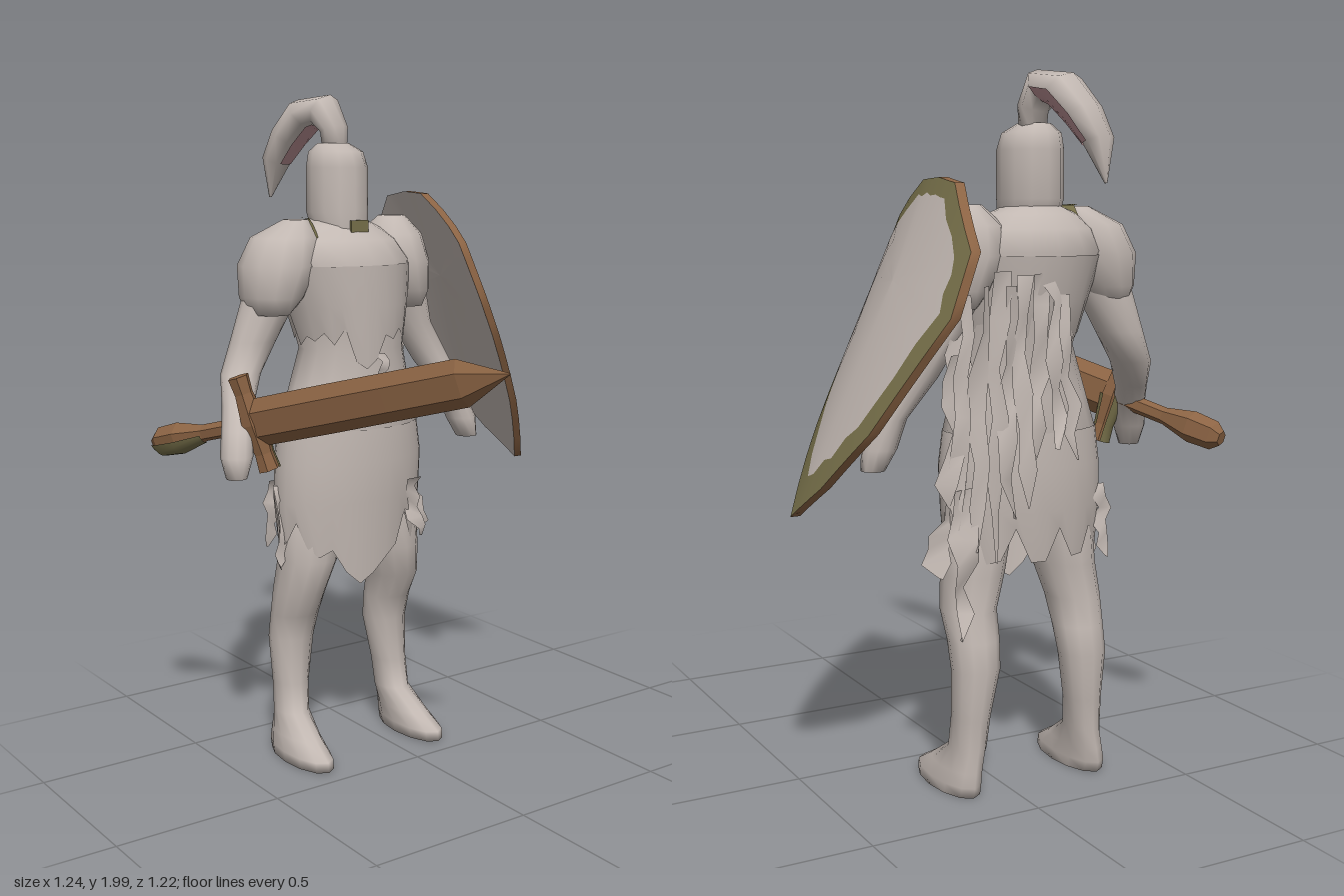
import * as THREE from 'three';

const V = (x, y, z) => new THREE.Vector3(x, y, z);
const mat = (name, color, side = THREE.FrontSide) => {
  const m = new THREE.MeshStandardMaterial({ color, side });
  m.name = name;
  return m;
};

export function createModel() {
  const model = new THREE.Group();
  model.name = 'knight';
  const steel = mat('steel grey', 0xc2b8b2, THREE.DoubleSide);
  const brown = mat('worn brown', 0x8c6444);
  const olive = mat('olive', 0x77704a);
  const pink = mat('faded pink', 0xbb9094, THREE.DoubleSide);
  let seed = 7;
  const rand = () => (seed = (seed * 16807) % 2147483647) / 2147483647;

  const add = (name, geo, material, parent = model) => {
    const mesh = new THREE.Mesh(geo, material);
    mesh.name = name;
    parent.add(mesh);
    return mesh;
  };

  // Joins rings of points that run counter-clockwise about the direction of travel
  function skin(rings, { caps = true, flat = false, open = false } = {}) {
    const n = rings[0].length, pts = rings.flat(), idx = [];
    for (let j = 0; j < rings.length - 1; j++) {
      for (let i = 0; i < (open ? n - 1 : n); i++) {
        const a = j * n + i, b = j * n + (i + 1) % n;
        idx.push(a, b, a + n, b, b + n, a + n);
      }
    }
    if (caps) {
      const last = (rings.length - 1) * n;
      for (let i = 1; i < n - 1; i++) {
        idx.push(0, i + 1, i, last, last + i, last + i + 1);
      }
    }
    let g = new THREE.BufferGeometry().setFromPoints(pts);
    g.setIndex(idx);
    if (flat) g = g.toNonIndexed();
    g.computeVertexNormals();
    return g;
  }

  // Level elliptical rings or arcs, bottom to top: [y, x, z, rx, rz]
  const ellipse = ([y, x, z, rx, rz], n, from = 0, span = Math.PI * 2) => Array.from({ length: n }, (_, i) => {
    const a = from + span * i / n;
    return V(x + rx * Math.cos(a), y, z - rz * Math.sin(a));
  });
  const loft = (sections, n = 12) => skin(sections.map(s => ellipse(s, n)));

  // Rings along a path: stations { p, w, h }, w along the side vector
  const around = (s, side, a, lift = 0) => s.p.clone()
    .addScaledVector(side, (s.w + lift) * Math.cos(a)).addScaledVector(s.up, (s.h + lift) * Math.sin(a));
  function sweep(stations, side, n, flat) {
    const rings = stations.map((s, k) => {
      const t = stations[Math.min(k + 1, stations.length - 1)].p.clone()
        .sub(stations[Math.max(k - 1, 0)].p).normalize();
      s.up = t.cross(side).normalize();
      return Array.from({ length: n }, (_, i) => around(s, side, i / n * Math.PI * 2));
    });
    return skin(rings, { flat });
  }
  // Thin painted strip over part of a swept form, between two angles in degrees
  const paint = (stations, side, from, to) => skin(stations.map(s => [0, 1, 2, 3, 4].map(k =>
    around(s, side, (from + (to - from) * k / 4) * Math.PI / 180, 0.003))), { caps: false, open: true });

  // Torso
  add('torso', loft([
    [0.78, -0.08, -0.25, 0.2, 0.13], [1.0, -0.08, -0.25, 0.235, 0.155],
    [1.12, -0.075, -0.25, 0.2, 0.145], [1.25, -0.06, -0.26, 0.165, 0.14],
    [1.4, -0.07, -0.27, 0.19, 0.165], [1.51, -0.08, -0.28, 0.22, 0.175],
    [1.57, -0.08, -0.295, 0.19, 0.14], [1.61, -0.085, -0.3, 0.13, 0.098],
    [1.63, -0.085, -0.3, 0.08, 0.08]], 16), steel);

  // Legs, mirrored about the body axis
  for (const s of [-1, 1]) {
    add(s < 0 ? 'rightLeg' : 'leftLeg', loft([
      [0, 0.205, -0.21, 0.062, 0.15], [0.03, 0.205, -0.215, 0.062, 0.152],
      [0.07, 0.2, -0.25, 0.055, 0.115], [0.13, 0.19, -0.295, 0.05, 0.066],
      [0.22, 0.185, -0.305, 0.054, 0.06], [0.36, 0.175, -0.315, 0.07, 0.066],
      [0.44, 0.172, -0.295, 0.074, 0.073], [0.52, 0.172, -0.265, 0.078, 0.088],
      [0.62, 0.15, -0.25, 0.088, 0.1], [0.86, 0.12, -0.25, 0.1, 0.11],
    ].map(([y, x, ...r]) => [y, -0.08 + s * x, ...r])), steel);
  }

  // Arms
  add('rightArm', loft([
    [0.92, -0.53, -0.14, 0.03, 0.03], [0.98, -0.52, -0.155, 0.046, 0.05],
    [1.05, -0.5, -0.185, 0.043, 0.05], [1.11, -0.465, -0.24, 0.045, 0.05],
    [1.19, -0.42, -0.3, 0.06, 0.055], [1.28, -0.365, -0.32, 0.07, 0.06],
    [1.42, -0.31, -0.3, 0.085, 0.08], [1.52, -0.27, -0.29, 0.07, 0.07]]), steel);
  add('leftArm', loft([
    [0.93, 0.37, -0.24, 0.033, 0.035], [0.99, 0.355, -0.25, 0.048, 0.05],
    [1.07, 0.325, -0.26, 0.043, 0.045], [1.18, 0.265, -0.29, 0.06, 0.055],
    [1.3, 0.2, -0.31, 0.065, 0.06], [1.42, 0.15, -0.3, 0.08, 0.08],
    [1.52, 0.11, -0.29, 0.07, 0.07]]), steel);

  // Shoulder plates
  add('rightPauldron', loft([
    [1.36, -0.33, -0.29, 0.06, 0.08], [1.41, -0.315, -0.29, 0.092, 0.11],
    [1.5, -0.29, -0.29, 0.12, 0.128], [1.58, -0.265, -0.295, 0.1, 0.105],
    [1.63, -0.225, -0.3, 0.035, 0.04]]), steel);
  add('leftPauldron', loft([
    [1.36, 0.15, -0.29, 0.055, 0.08], [1.41, 0.14, -0.29, 0.085, 0.11],
    [1.5, 0.115, -0.29, 0.108, 0.128], [1.58, 0.11, -0.295, 0.095, 0.105],
    [1.635, 0.12, -0.3, 0.04, 0.045]]), steel);

  // Helmet
  add('helmet', loft([
    [1.52, -0.085, -0.25, 0.05, 0.05], [1.58, -0.085, -0.275, 0.08, 0.085],
    [1.65, -0.085, -0.29, 0.09, 0.098], [1.78, -0.083, -0.292, 0.09, 0.097],
    [1.825, -0.085, -0.295, 0.08, 0.085], [1.85, -0.09, -0.3, 0.045, 0.05]]), steel);

  // Plume curling back from the helmet, pink underneath and along its left edge
  const plumeSide = V(0.89, 0, -0.45).normalize();
  const plume = [
    [-0.085, 1.82, -0.3, 0.05, 0.03], [-0.08, 1.89, -0.31, 0.058, 0.035],
    [-0.095, 1.945, -0.34, 0.078, 0.05], [-0.125, 1.935, -0.395, 0.085, 0.05],
    [-0.155, 1.87, -0.445, 0.075, 0.045], [-0.175, 1.8, -0.485, 0.058, 0.036],
    [-0.19, 1.69, -0.5, 0.004, 0.004],
  ].map(([x, y, z, w, h]) => ({ p: V(x, y, z), w, h }));
  add('plume', sweep(plume, plumeSide, 8, false), steel);
  add('plumeUnderside', paint(plume.slice(2, 6), plumeSide, 5, 120), pink);

  // Tarnish patches at the throat and on the inner slope of the right shoulder
  add('throatPatch', new THREE.BoxGeometry(0.06, 0.035, 0.008), olive).position.set(-0.075, 1.61, -0.188);
  add('shoulderPatch', skin([
    [1.58, -0.265, -0.295, 0.104, 0.109], [1.633, -0.225, -0.3, 0.039, 0.044],
    [1.635, -0.225, -0.3, 0.012, 0.03],
  ].map(s => ellipse(s, 9, -1.1, 2.2)), { caps: false, open: true }), olive);

  // Open cloth shell with a ragged lower edge; hem(a) gives its height
  function raggedShell(name, rows, hem, n = 32) {
    const rings = rows.map(row => ellipse(row, n));
    rings[0].forEach((p, i) => { p.y = hem(i / n * Math.PI * 2, i); });
    add(name, skin(rings, { caps: false }), steel);
  }
  const front = (a, width) => Math.exp(-(((a - Math.PI * 1.5 + 0.2) / width) ** 2));
  raggedShell('skirt', [
    [0, -0.085, -0.25, 0.235, 0.14], [0.8, -0.085, -0.25, 0.245, 0.155],
    [0.92, -0.08, -0.25, 0.245, 0.16], [1.02, -0.08, -0.25, 0.232, 0.155],
  ], (a, i) => 0.71 - 0.14 * front(a, 0.4) + (i % 3 ? -0.02 : 0.06) * (1 - front(a, 0.4)) - rand() * 0.04);
  raggedShell('chestCloth', [
    [0, -0.065, -0.26, 0.172, 0.148], [1.38, -0.07, -0.27, 0.192, 0.167],
    [1.5, -0.08, -0.28, 0.22, 0.176],
  ], (a, i) => 1.29 - 0.1 * front(a, 0.25) + (i % 2 ? 0.04 : -0.03) * rand());

  // Tattered strips: [x, y, z] top, [x, y, z] bottom, half width
  const rags = new THREE.Group();
  rags.name = 'tatteredCloth';
  model.add(rags);
  function rag(top, bottom, w) {
    const a = V(...top), b = V(...bottom), rows = [];
    for (let k = 0; k <= 6; k++) {
      const t = k / 6, c = a.clone().lerp(b, t);
      const half = w * (k === 6 ? 0.05 : 0.5 + 0.7 * rand());
      c.x += (rand() - 0.5) * 0.03;
      c.z += (rand() - 0.5) * 0.025;
      const dz = (rand() - 0.5) * w;
      rows.push([c.clone().add(V(half, 0, dz)), c.clone().add(V(-half, 0, -dz))]);
    }
    add('clothStrip', skin(rows, { caps: false, open: true }), steel, rags);
  }
  // Cape strips down the back, longest towards the left
  for (let i = 0; i < 8; i++) {
    const t = i / 7;
    rag([-0.1 + 0.28 * t, 1.47 - 0.08 * rand(), -0.44],
      [-0.12 + 0.35 * t, 0.88 - 0.26 * t + 0.16 * rand(), -0.44 - 0.04 * rand()], 0.026);
  }
  rag([0.17, 1.33, -0.36], [0.2, 0.82, -0.4], 0.03);
  rag([0.2, 1.25, -0.42], [0.26, 0.85, -0.45], 0.03);
  rag([0.2, 0.9, -0.46], [0.23, 0.51, -0.5], 0.035);
  rag([0.15, 0.86, -0.28], [0.2, 0.62, -0.28], 0.035);
  rag([0.07, 0.85, -0.11], [0.09, 0.66, -0.12], 0.03);
  rag([-0.31, 0.85, -0.25], [-0.33, 0.6, -0.24], 0.02);
  rag([-0.29, 0.85, -0.34], [-0.31, 0.64, -0.35], 0.025);
  rag([-0.05, 1.24, -0.11], [-0.05, 1.1, -0.1], 0.018);

  // Sword: blade, grip, pommel and guard along one axis, with tarnished faces
  const hilt = V(-0.465, 1.07, -0.15), axis = V(0.305, 0.205, 0.76);
  const across = V(0.07, -0.27, 0.045).normalize(), forward = axis.clone().normalize();
  const along = list => list.map(([t, w, h]) => ({ p: hilt.clone().addScaledVector(axis, t), w, h }));
  add('swordBlade', sweep(along([[0, 0.07, 0.032], [0.3, 0.07, 0.032], [0.55, 0.068, 0.032],
    [0.83, 0.066, 0.03], [1, 0.002, 0.002]]), across, 6, true), brown);
  add('swordGrip', sweep(along([[-0.34, 0.025, 0.025], [0, 0.025, 0.025]]), across, 6, true), brown);
  const pommel = along([[-0.45, 0.022, 0.022], [-0.42, 0.042, 0.04],
    [-0.33, 0.046, 0.045], [-0.22, 0.025, 0.025]]);
  add('swordPommel', sweep(pommel, across, 6, true), brown);
  add('pommelTarnish', paint(pommel, across, -90, -10), olive);
  const guard = [[-0.14, 0.03], [-0.09, 0.026], [0, 0.036], [0.09, 0.026], [0.14, 0.03]].map(
    ([t, r]) => ({ p: hilt.clone().addScaledVector(across, t), w: r, h: r * 1.1 }));
  add('swordGuard', sweep(guard, forward, 6, true), brown);
  add('guardBackTarnish', paint(guard, forward, 130, 230), olive);
  add('guardFrontTarnish', paint(guard.slice(2), forward, -75, -10), olive);

  // Shield: curved kite face, tarnished rim, wooden edge and plain back
  const outline = [[-0.04, 1.56], [0, 1.4], [-0.02, 1.28], [-0.12, 1.05], [-0.25, 0.83], [-0.36, 0.92],
    [-0.48, 1.07], [-0.61, 1.36], [-0.59, 1.52], [-0.42, 1.69], [-0.33, 1.705], [-0.24, 1.7]];
  const edge = outline.flatMap(([z, y], i) => {
    const [z2, y2] = outline[(i + 1) % outline.length];
    return [0, 1 / 3, 2 / 3].map(t => [z + (z2 - z) * t, y + (y2 - y) * t]);
  });
  const ring = (s, off, jag = 0) => edge.map(([z, y], i) => {
    const k = s + (i % 2 ? jag : -jag) * rand();
    const pz = -0.3 + (z + 0.3) * k, py = 1.44 + (y - 1.44) * k;
    const bend = pz < -0.3 ? 0.04 : 0.1;
    return V(0.205 + 0.455 * (1.7 - py) - bend * ((pz + 0.3) / 0.3) ** 2 + off, py, pz);
  });
  const inner = ring(0.84, 0.014, 0.02);
  const shield = new THREE.Group();
  shield.name = 'shield';
  model.add(shield);
  const shell = (name, rings, m) => add(name, skin(rings, { caps: false }), m, shield);
  shell('shieldBack', [ring(0, -0.014), ring(0.5, -0.014), ring(1, -0.014)], steel);
  shell('shieldEdge', [ring(1, -0.014), ring(1, 0.014)], brown);
  shell('shieldRim', [ring(1, 0.014), inner], olive);
  shell('shieldFace', [inner, ring(0.6, 0.014), ring(0.3, 0.014), ring(0, 0.014)], steel);

  return model;
}
